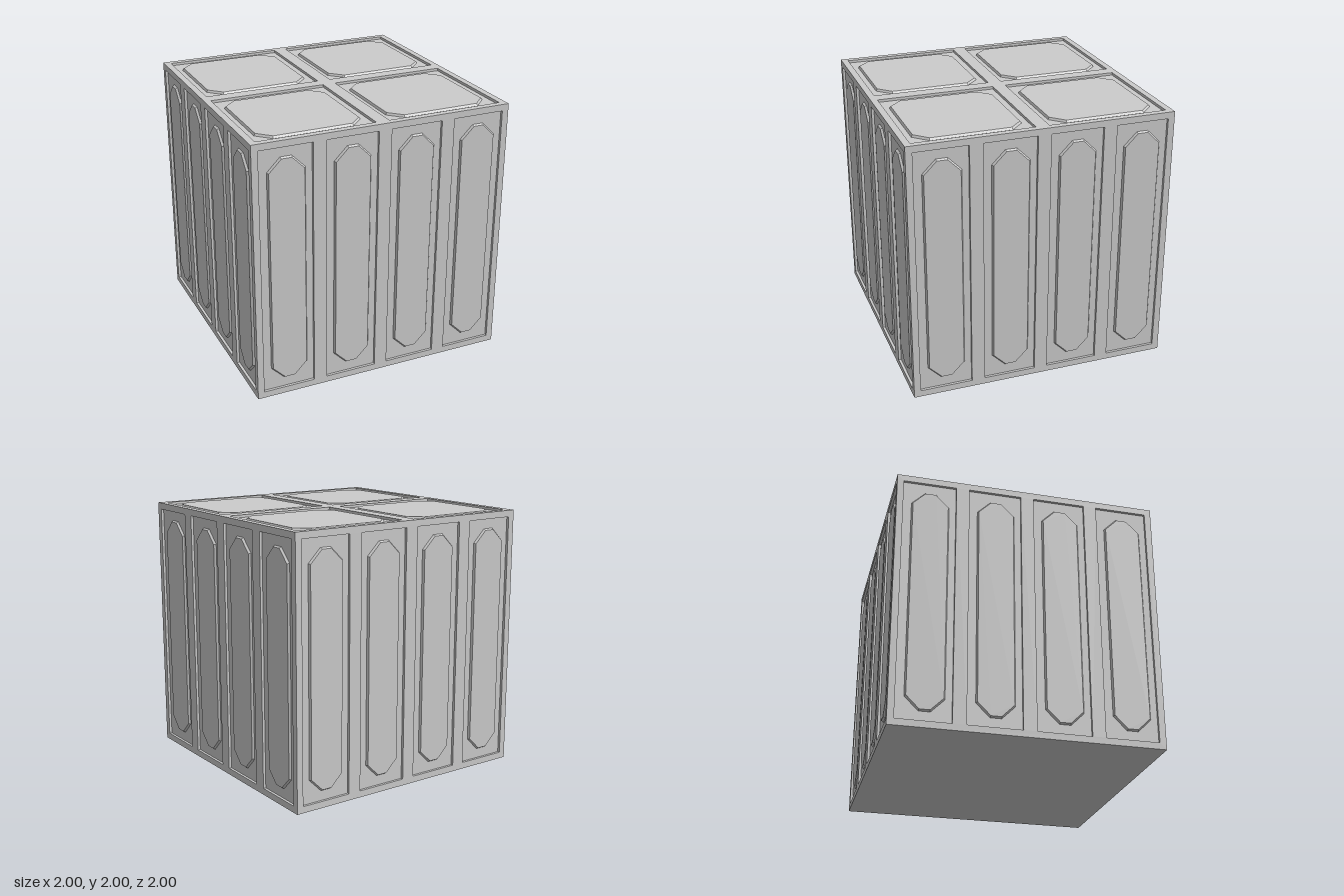
import * as THREE from 'three';

const material = new THREE.MeshStandardMaterial({ color: 0xcccccc, flatShading: true });
const DEPTH = 0.02;   // recess depth below the frame
const RAISE = 0.016;  // height of a raised panel above the recess floor
const BEVEL = 0.01;   // inset of a panel's sloped rim
const CUT = 0.1;      // corner cut of a panel

function named(geometry, name) {
  const mesh = new THREE.Mesh(geometry, material);
  mesh.name = name;
  return mesh;
}

function polygon(points, Type = THREE.Shape) {
  return new Type(points.map(([x, y]) => new THREE.Vector2(x, y)));
}

function rect(cx, cy, w, h, Type) {
  const x = w / 2, y = h / 2;
  return polygon([[cx - x, cy - y], [cx + x, cy - y], [cx + x, cy + y], [cx - x, cy + y]], Type);
}

// Extrude a shape along +z, then move its vertices by a rule
function extrudeAndMove(shape, depth, rule) {
  const geometry = new THREE.ExtrudeGeometry(shape, { depth, bevelEnabled: false });
  const p = geometry.attributes.position;
  const v = new THREE.Vector3();
  for (let i = 0; i < p.count; i++) {
    v.fromBufferAttribute(p, i);
    rule(v);
    p.setXYZ(i, v.x, v.y, v.z);
  }
  geometry.computeVertexNormals();
  return geometry;
}

// Square frame with rectangular openings, its edges mitred to meet the next face
function frame(cells, mitreBottom) {
  const shape = rect(0, 0, 2, 2);
  for (const c of cells) shape.holes.push(rect(c.x, c.y, c.w, c.h, THREE.Path));
  return extrudeAndMove(shape, DEPTH, (v) => {
    if (v.z > DEPTH / 2) return;
    if (Math.abs(v.x) > 0.99) v.x -= Math.sign(v.x) * DEPTH;
    if (v.y > 0.99) v.y -= DEPTH;
    if (v.y < -0.99 && mitreBottom) v.y += DEPTH;
  });
}

// Raised eight-sided panel with a sloped rim
function raisedPanel(w, h) {
  const x = w / 2, y = h / 2;
  const shape = polygon([
    [-x + CUT, -y], [x - CUT, -y], [x, -y + CUT], [x, y - CUT],
    [x - CUT, y], [-x + CUT, y], [-x, y - CUT], [-x, -y + CUT],
  ]);
  const small = BEVEL * Math.tan(Math.PI / 8);
  return extrudeAndMove(shape, RAISE, (v) => {
    if (v.z < RAISE / 2) return;
    const onSide = Math.abs(v.x) > x - 1e-4;
    v.x -= Math.sign(v.x) * (onSide ? BEVEL : small);
    v.y -= Math.sign(v.y) * (onSide ? small : BEVEL);
  });
}

// One face of the cube: frame plus a raised panel in every opening
function face(name, cells, panel, mitreBottom) {
  const group = new THREE.Group();
  group.name = name;
  const frameMesh = named(frame(cells, mitreBottom), name + 'Frame');
  frameMesh.position.z = 1 - DEPTH;
  group.add(frameMesh);
  const geometry = raisedPanel(panel.w, panel.h);
  cells.forEach((c, i) => {
    const mesh = named(geometry, name + 'Panel' + (i + 1));
    mesh.position.set(c.x + panel.dx, c.y, 1 - DEPTH);
    group.add(mesh);
  });
  group.position.y = 1;
  return group;
}

export function createModel() {
  const model = new THREE.Group();
  model.name = 'panelledCube';

  // Core, whose surface is the floor of all recesses
  const core = named(new THREE.BoxGeometry(2 - 2 * DEPTH, 2 - DEPTH, 2 - 2 * DEPTH), 'core');
  core.position.y = (2 - DEPTH) / 2;
  model.add(core);

  // Four sides with four tall panels each
  const tall = [-0.75, -0.25, 0.25, 0.75].map((x) => ({ x, y: 0, w: 0.4, h: 1.9 }));
  ['front', 'left', 'back', 'right'].forEach((name, i) => {
    const side = face(name, tall, { w: 0.285, h: 1.75, dx: 0.007 }, false);
    side.rotation.y = i * Math.PI / 2;
    model.add(side);
  });

  // Top with a two by two grid of panels
  const square = [];
  for (const y of [0.5, -0.5]) for (const x of [-0.5, 0.5]) square.push({ x, y, w: 0.9, h: 0.9 });
  const top = face('top', square, { w: 0.8, h: 0.8, dx: 0 }, true);
  top.rotation.x = -Math.PI / 2;
  model.add(top);

  return model;
}
